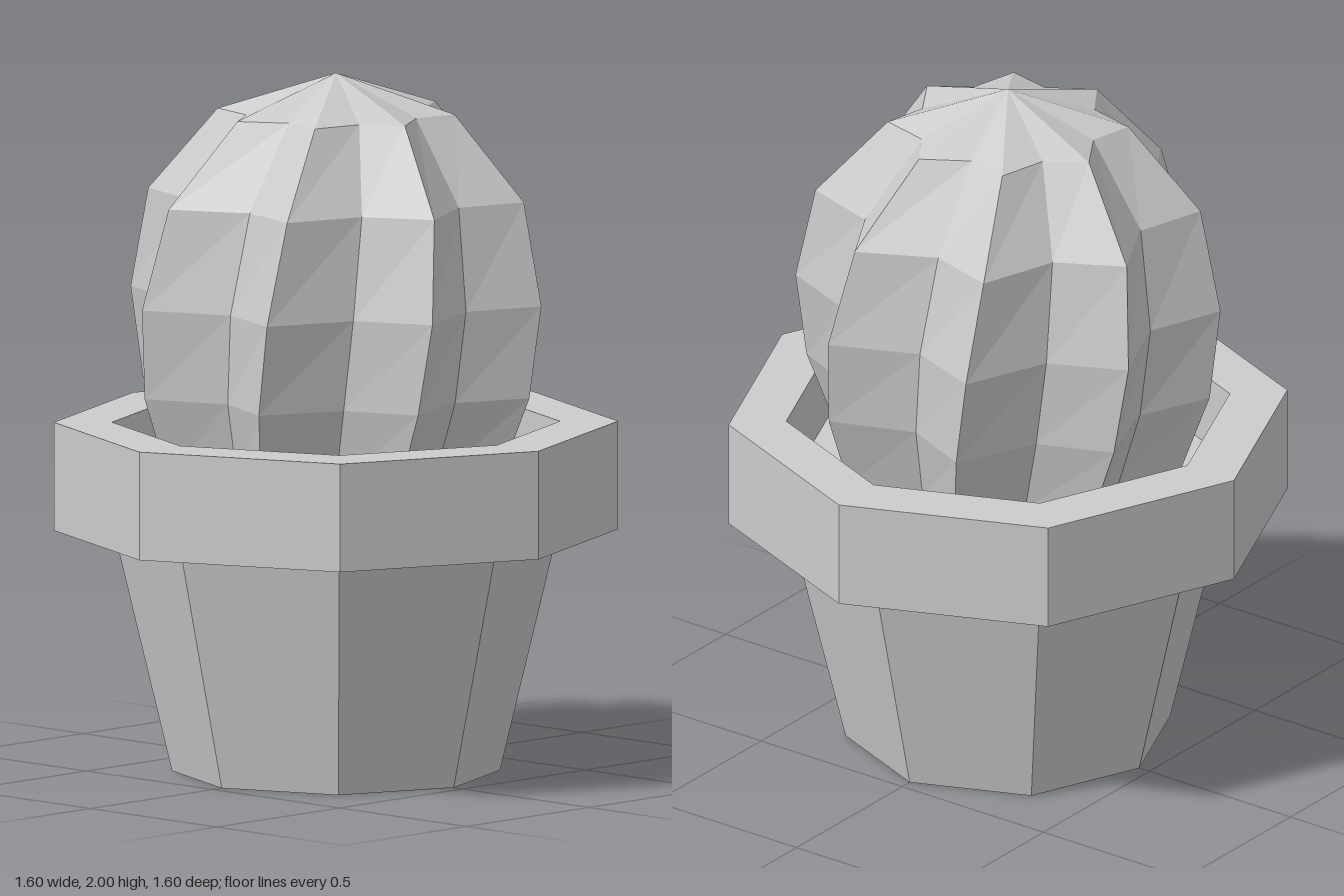
import * as THREE from 'three';

const material = new THREE.MeshStandardMaterial({ color: 0xcccccc, flatShading: true });

// Eight-sided turned part from [radius, height] pairs
function turned(name, profile) {
  const points = profile.map(([r, y]) => new THREE.Vector2(r, y));
  const mesh = new THREE.Mesh(new THREE.LatheGeometry(points, 8), material);
  mesh.name = name;
  return mesh;
}

// Ribbed, slightly twisted body: rings of alternating ridges and valleys
function cactusGeometry() {
  const ribs = 8, count = ribs * 2, valleyRatio = 0.773;
  // [height, ridge radius, twist in degrees]
  const rings = [
    [0.77, 0.45, 27], [0.87, 0.51, 25.5], [1.1, 0.59, 22.6], [1.36, 0.614, 19.4],
    [1.65, 0.55, 15.4], [1.89, 0.341, 10.9], [2, 0, 7],
  ];
  const positions = [], index = [];
  for (const [y, radius, twist] of rings) {
    for (let i = 0; i < count; i++) {
      const valley = i % 2 === 1;
      const r = valley ? radius * valleyRatio : radius;
      const degrees = twist + 45 * Math.floor(i / 2) + (valley ? 20.5 : 0);
      const a = THREE.MathUtils.degToRad(degrees);
      positions.push(r * Math.cos(a), y, r * Math.sin(a));
    }
  }
  for (let k = 0; k < rings.length - 1; k++) {
    for (let i = 0; i < count; i++) {
      const a = k * count + i, b = k * count + (i + 1) % count;
      index.push(a, a + count, b);
      if (k < rings.length - 2) index.push(a + count, b + count, b);
    }
  }
  const geometry = new THREE.BufferGeometry();
  geometry.setAttribute('position', new THREE.Float32BufferAttribute(positions, 3));
  geometry.setIndex(index);
  geometry.computeVertexNormals();
  return geometry;
}

export function createModel() {
  const group = new THREE.Group();
  group.name = 'pottedCactus';

  // Tapered pot with a base
  group.add(turned('pot', [[0, 0], [0.465, 0], [0.63, 0.69]]));
  // Thick overhanging rim, open inside
  group.add(turned('rim', [[0.63, 0.69], [0.8, 0.69], [0.8, 1], [0.635, 1], [0.635, 0.79]]));
  // Soil surface sunk below the rim
  group.add(turned('soil', [[0.635, 0.79], [0, 0.79]]));

  const cactus = new THREE.Mesh(cactusGeometry(), material);
  cactus.name = 'cactus';
  group.add(cactus);
  return group;
}
